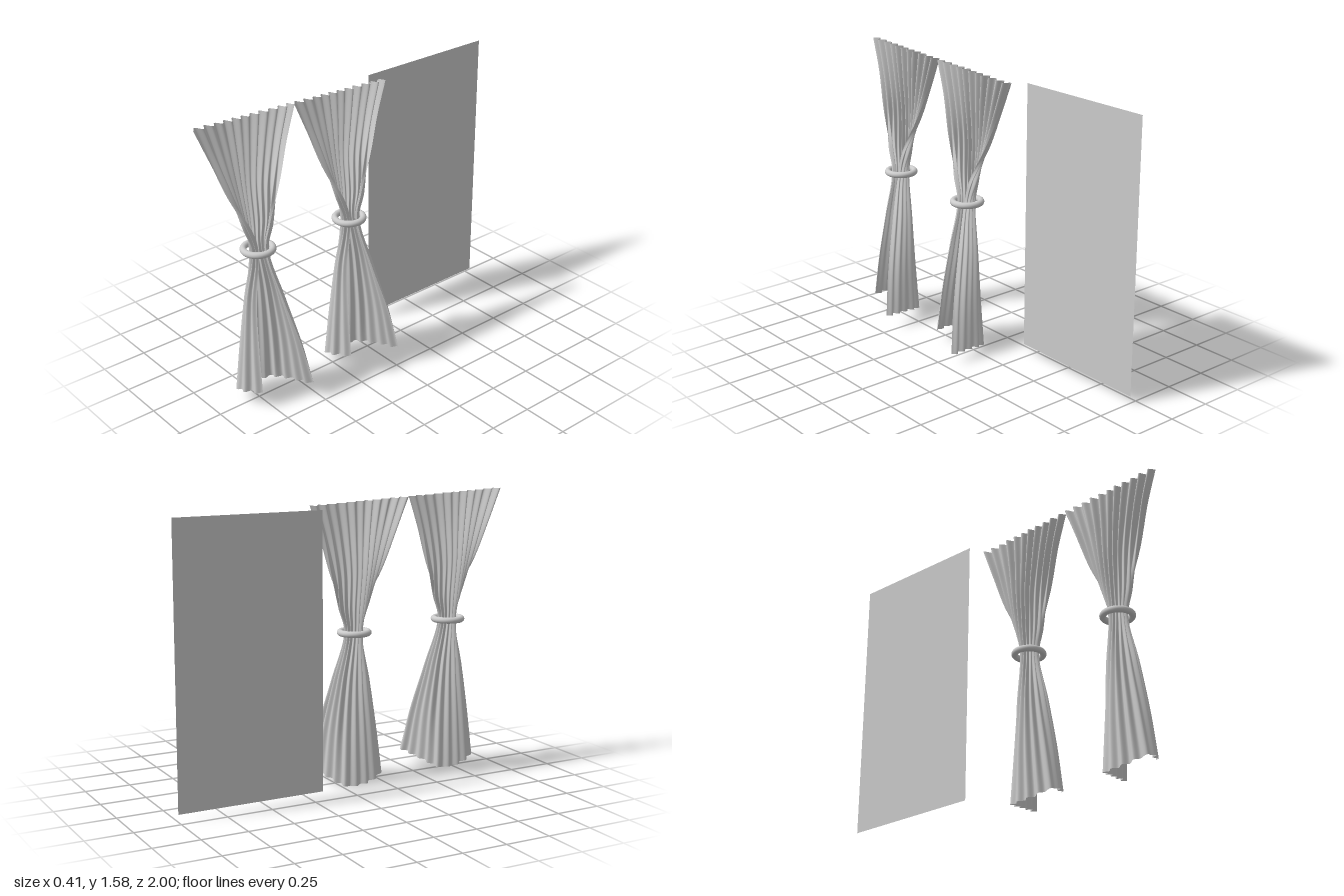
import * as THREE from 'three';

const FOLDS = 11, COLS = FOLDS * 12, ROWS = 48;
const TILT = 0.043; // the row of drapes climbs slightly along z

// Cross-sections of one drape from the top to the hem: points [x, z], height(s) and fold depth
const LEVELS = [
  { y: 1.542, depth: 0.02, path: [[-0.095, -0.288], [-0.095, -0.19], [-0.095, -0.09], [-0.095, 0.01], [-0.095, 0.11], [-0.095, 0.21], [-0.095, 0.308]] },
  { y: 1.37, depth: 0.018, path: [[-0.08, -0.225], [-0.088, -0.15], [-0.095, -0.07], [-0.097, 0.005], [-0.095, 0.08], [-0.088, 0.16], [-0.08, 0.24]] },
  { y: 1.17, depth: 0.015, path: [[-0.045, -0.155], [-0.07, -0.115], [-0.092, -0.06], [-0.1, 0], [-0.092, 0.06], [-0.07, 0.115], [-0.045, 0.165]] },
  { y: 0.97, depth: 0.012, path: [[0, -0.065], [-0.035, -0.075], [-0.07, -0.045], [-0.085, 0], [-0.07, 0.045], [-0.035, 0.075], [0, 0.065]] },
  { y: 0.836, depth: 0.009, path: [[0.005, -0.03], [-0.03, -0.04], [-0.06, -0.03], [-0.075, 0], [-0.06, 0.03], [-0.03, 0.04], [0.005, 0.03]] },
  { y: 0.57, depth: 0.011, path: [[0.08, -0.07], [0.02, -0.08], [-0.045, -0.065], [-0.082, -0.005], [-0.072, 0.055], [-0.04, 0.085], [0.03, 0.075]] },
  { y: 0.3, depth: 0.012, path: [[0.155, -0.125], [0.06, -0.115], [-0.025, -0.09], [-0.085, -0.04], [-0.085, 0.065], [-0.045, 0.125], [0.07, 0.1]] },
  { y: [0.062, 0.045, 0.025, 0.003, 0.006, 0.035, 0.065], depth: 0.013, path: [[0.2, -0.165], [0.1, -0.14], [0, -0.11], [-0.085, -0.07], [-0.088, 0.07], [-0.045, 0.16], [0.1, 0.11]] },
];

// Grid of vertices: folded cross-sections joined by smooth vertical curves
function drapeGeometry() {
  const sections = LEVELS.map(({ y, depth, path }) => {
    const curve = new THREE.CatmullRomCurve3(
      path.map(([x, z], i) => new THREE.Vector3(x, Array.isArray(y) ? y[i] : y, z)));
    return Array.from({ length: COLS + 1 }, (_, i) => {
      const u = i / COLS;
      const p = curve.getPointAt(u), t = curve.getTangentAt(u);
      const wobble = 0.5 * Math.sin(u * 9 + 1);
      const fold = depth * Math.cos(2 * Math.PI * FOLDS * u + wobble) * (0.85 + 0.15 * Math.sin(u * 23));
      const len = Math.hypot(t.x, t.z);
      p.x += fold * t.z / len;
      p.z -= fold * t.x / len;
      return p;
    });
  });
  const geo = new THREE.PlaneGeometry(1, 1, COLS, ROWS);
  const pos = geo.attributes.position;
  for (let i = 0; i <= COLS; i++) {
    const line = new THREE.CatmullRomCurve3(sections.map(s => s[i]));
    for (let j = 0; j <= ROWS; j++) {
      const p = line.getPoint(j / ROWS);
      pos.setXYZ(j * (COLS + 1) + i, p.x, p.y + TILT * p.z, p.z);
    }
  }
  // the columns run toward +z, so reverse the faces to point them to +x
  const index = geo.index.array;
  for (let k = 0; k < index.length; k += 3) [index[k], index[k + 1]] = [index[k + 1], index[k]];
  geo.computeVertexNormals();
  return geo;
}

export function createModel() {
  const model = new THREE.Group();
  const solid = new THREE.MeshStandardMaterial({ color: 0xcccccc });
  const thin = new THREE.MeshStandardMaterial({ color: 0xcccccc, side: THREE.DoubleSide });

  // Two gathered drapes, each held by a ring
  const drapeGeo = drapeGeometry();
  const ringGeo = new THREE.TorusGeometry(0.076, 0.0175, 16, 48).rotateX(Math.PI / 2);
  for (const z of [0.692, 0.097]) {
    const curtain = new THREE.Group();
    curtain.name = 'curtain';
    curtain.position.set(0, TILT * z, z);
    const drape = new THREE.Mesh(drapeGeo, thin);
    drape.name = 'drape';
    const ring = new THREE.Mesh(ringGeo, solid);
    ring.name = 'tiebackRing';
    ring.position.set(-0.036, 0.836, 0);
    curtain.add(drape, ring);
    model.add(curtain);
  }

  // Flat upright sheet beside the drapes
  const panel = new THREE.Mesh(new THREE.PlaneGeometry(0.815, 1.48).rotateY(Math.PI / 2), thin);
  panel.name = 'flatPanel';
  panel.position.set(-0.21, 0.782, -0.5925);
  model.add(panel);

  return model;
}
